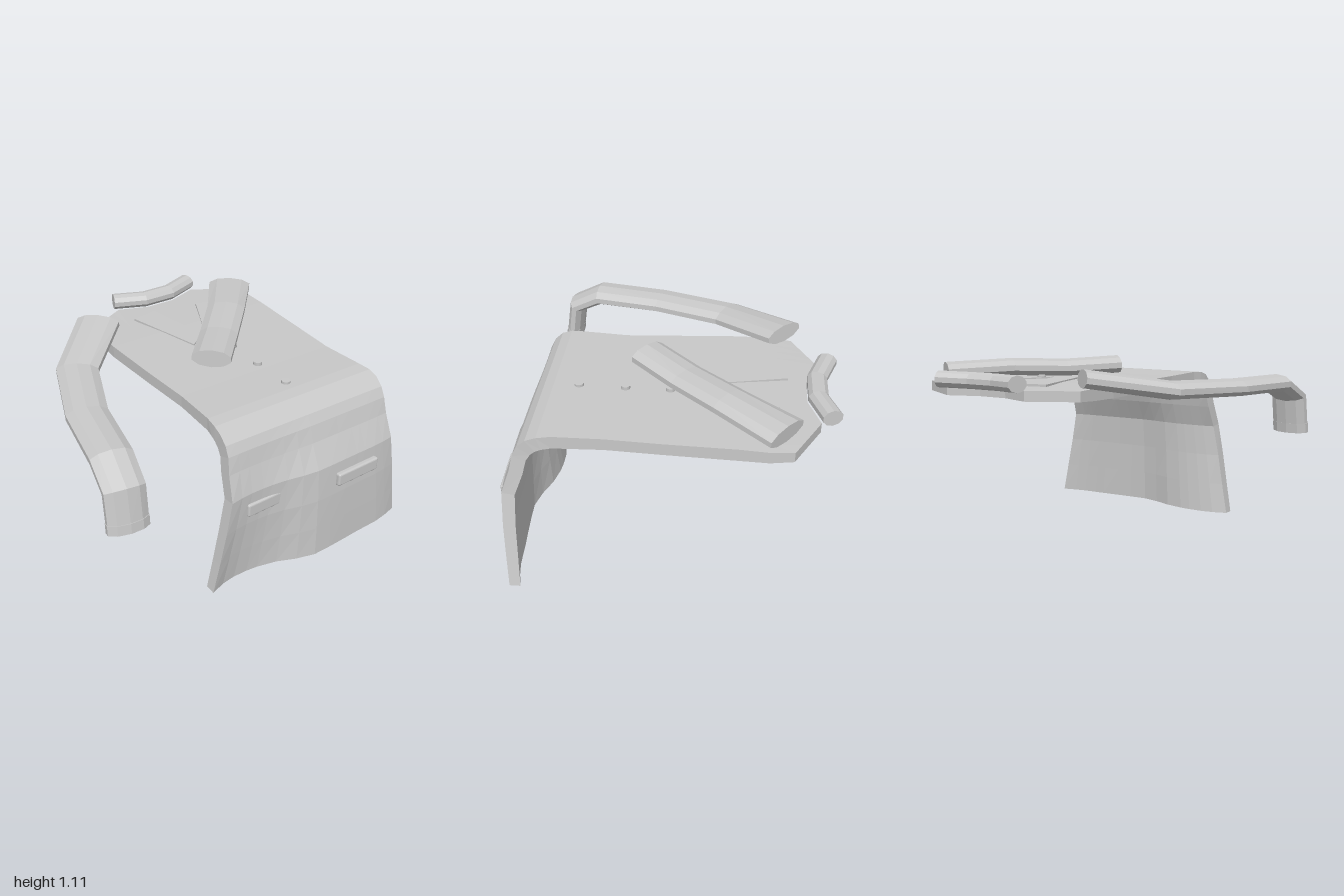
import * as THREE from 'three';
import { RoundedBoxGeometry } from 'three/addons/geometries/RoundedBoxGeometry.js';

// Piecewise-linear lookup in a list of [position, value] pairs
function lookup(table, x) {
  if (x <= table[0][0]) return table[0][1];
  for (let i = 1; i < table.length; i++) {
    const [x0, v0] = table[i - 1], [x1, v1] = table[i];
    if (x <= x1) return v0 + (v1 - v0) * (x - x0) / (x1 - x0);
  }
  return table[table.length - 1][1];
}

// Skin a list of equal, even-sized rings and close both ends with strips
function loft(rings) {
  const n = rings[0].length, index = [];
  for (let r = 0; r < rings.length - 1; r++) {
    for (let i = 0; i < n; i++) {
      const j = (i + 1) % n;
      const a = r * n + i, b = r * n + j, d = a + n, c = b + n;
      index.push(a, d, b, d, c, b);
    }
  }
  const end = (rings.length - 1) * n;
  for (let i = 0; i < n / 2 - 1; i++) {
    const p = i, q = i + 1, s = n - 2 - i, t = n - 1 - i;
    index.push(p, q, s, p, s, t);
    index.push(end + p, end + s, end + q, end + p, end + t, end + s);
  }
  const geometry = new THREE.BufferGeometry();
  geometry.setAttribute('position', new THREE.Float32BufferAttribute(rings.flat(2), 3));
  geometry.setIndex(index);
  geometry.computeVertexNormals();
  return geometry;
}

// Flattened tube along a path of [x, y, z, halfWidth, halfHeight]
function flatTube(path, sides = 10) {
  const pts = path.map(p => new THREE.Vector3(p[0], p[1], p[2]));
  const up = new THREE.Vector3(0, 1, 0);
  return loft(pts.map((p, i) => {
    const before = p.clone().sub(pts[Math.max(i - 1, 0)]).normalize();
    const after = pts[Math.min(i + 1, pts.length - 1)].clone().sub(p).normalize();
    const dir = before.add(after).normalize();
    const side = up.clone().cross(dir).normalize();
    const normal = dir.clone().cross(side);
    return Array.from({ length: sides }, (_, k) => {
      const a = Math.PI - (k + 0.5) * Math.PI * 2 / sides;
      return p.clone().addScaledVector(side, Math.cos(a) * path[i][3] * 1.04)
        .addScaledVector(normal, Math.sin(a) * path[i][4] * 1.04).toArray();
    });
  }));
}

// Coat body: a thick sheet lying flat, bent over an edge and hanging down
function bodyGeometry() {
  const us = [-1, -0.87, -0.75, -0.62, -0.515, -0.34, -0.17, 0, 0.17, 0.34, 0.515, 0.62, 0.75, 0.87, 1];
  const neckline = [[-1, -0.7], [-0.515, -0.85], [-0.17, -0.78], [0.17, -0.78], [0.515, -0.85], [1, -0.7]];
  const wave = [[-1, 0], [-0.82, -0.045], [-0.56, -0.045], [-0.35, -0.015], [-0.2, 0.03],
    [0, 0.065], [0.22, 0.06], [0.5, 0.045], [0.8, 0.035], [1, 0]];
  // xLeft, xRight, outer z, outer y, inner z, inner y, fold amount
  const rows = [
    [-0.275, 0.855, null, 0.975, null, 0.915, 0],
    [-0.28, 0.87, -0.57, 0.98, -0.57, 0.91, 0],
    [-0.29, 0.862, -0.4, 0.985, -0.4, 0.91, 0],
    [-0.27, 0.845, 0, 0.982, 0, 0.91, 0],
    [-0.25, 0.828, 0.32, 0.982, 0.32, 0.91, 0],
    [-0.262, 0.84, 0.6, 0.99, 0.6, 0.912, 0],
    [-0.272, 0.852, 0.68, 0.985, 0.655, 0.908, 0],
    [-0.275, 0.855, 0.74, 0.965, 0.69, 0.895, 0],
    [-0.275, 0.855, 0.79, 0.92, 0.72, 0.87, 0],
    [-0.276, 0.858, 0.82, 0.86, 0.745, 0.83, 0.05],
    [-0.285, 0.866, 0.845, 0.76, 0.77, 0.74, 0.15],
    [-0.297, 0.88, 0.9, 0.61, 0.825, 0.6, 0.4],
    [-0.335, 0.92, 0.905, 0.4, 0.832, 0.4, 0.6],
    [-0.37, 0.96, 0.9, 0.2, 0.83, 0.2, 0.8],
    [-0.407, 1.0, 0.893, 0, 0.828, 0, 1]
  ];
  return loft(rows.map(([xl, xr, zo, yo, zi, yi, fold]) => {
    const x = u => xl + (xr - xl) * (u + 1) / 2;
    const z = (u, base) => base === null ? lookup(neckline, u) : base + lookup(wave, u) * fold;
    const outer = us.map(u => [x(u), yo, z(u, zo)]);
    const inner = us.map(u => [x(u), yi, z(u, zi)]).reverse();
    return [...outer, ...inner];
  }));
}

// Flat panel from [x, z] corners
function panelGeometry(corners, thickness) {
  const shape = new THREE.Shape(corners.map(([x, z]) => new THREE.Vector2(x, -z)));
  return new THREE.ExtrudeGeometry(shape, { depth: thickness, bevelEnabled: false }).rotateX(-Math.PI / 2);
}

export function createModel() {
  const coat = new THREE.Group();
  coat.name = 'drapedCoat';
  const cloth = new THREE.MeshStandardMaterial({ color: 0xc8c8c8, flatShading: true });
  cloth.name = 'pale grey cloth';
  const add = (name, geometry, x = 0, y = 0, z = 0) => {
    const mesh = new THREE.Mesh(geometry, cloth);
    mesh.name = name;
    mesh.position.set(x, y, z);
    coat.add(mesh);
    return mesh;
  };

  add('body', bodyGeometry());

  // Sleeve hanging over the edge, with its cuff
  add('rightSleeve', flatTube([
    [-0.255, 1.04, -0.655, 0.138, 0.05],
    [-0.6, 0.965, -0.29, 0.128, 0.052],
    [-0.77, 0.953, 0.155, 0.122, 0.052],
    [-0.85, 0.95, 0.575, 0.12, 0.055],
    [-0.876, 0.86, 0.745, 0.117, 0.055],
    [-0.88, 0.66, 0.775, 0.117, 0.05]
  ]));
  add('rightCuff', flatTube([
    [-0.88, 0.685, 0.773, 0.12, 0.053],
    [-0.881, 0.625, 0.78, 0.12, 0.053]
  ]));

  // Sleeve folded across the chest
  add('leftSleeve', flatTube([
    [0.775, 1.038, -0.655, 0.14, 0.05],
    [0.52, 1.052, -0.335, 0.123, 0.052],
    [0.29, 1.042, -0.085, 0.12, 0.052],
    [0.06, 1.057, 0.165, 0.119, 0.054]
  ]));

  // Rolled collar
  add('collar', flatTube([
    [-0.005, 1.015, -0.908, 0.058, 0.047],
    [0.195, 1.01, -0.838, 0.058, 0.047],
    [0.39, 1.01, -0.838, 0.058, 0.047],
    [0.585, 1.015, -0.908, 0.058, 0.047]
  ]));

  // Lapels
  add('rightLapel', panelGeometry([[0.005, -0.645], [0.14, -0.14], [0.265, -0.23], [0.175, -0.675]], 0.02), 0, 0.972, 0);
  add('leftLapel', panelGeometry([[0.47, -0.62], [0.28, -0.22], [0.42, -0.14], [0.62, -0.56]], 0.02), 0, 0.972, 0);

  // Buttons
  for (const z of [-0.27, 0, 0.26, 0.53]) {
    add('button', new THREE.CylinderGeometry(0.027, 0.027, 0.03, 16), 0.335, 0.988, z);
  }

  // Pocket flaps
  add('leftPocket', new RoundedBoxGeometry(0.315, 0.085, 0.04, 2, 0.012), 0.587, 0.498, 0.934).rotation.y = 0.03;
  add('rightPocket', new RoundedBoxGeometry(0.24, 0.085, 0.04, 2, 0.012), -0.06, 0.498, 0.874).rotation.y = 0.03;

  return coat;
}
